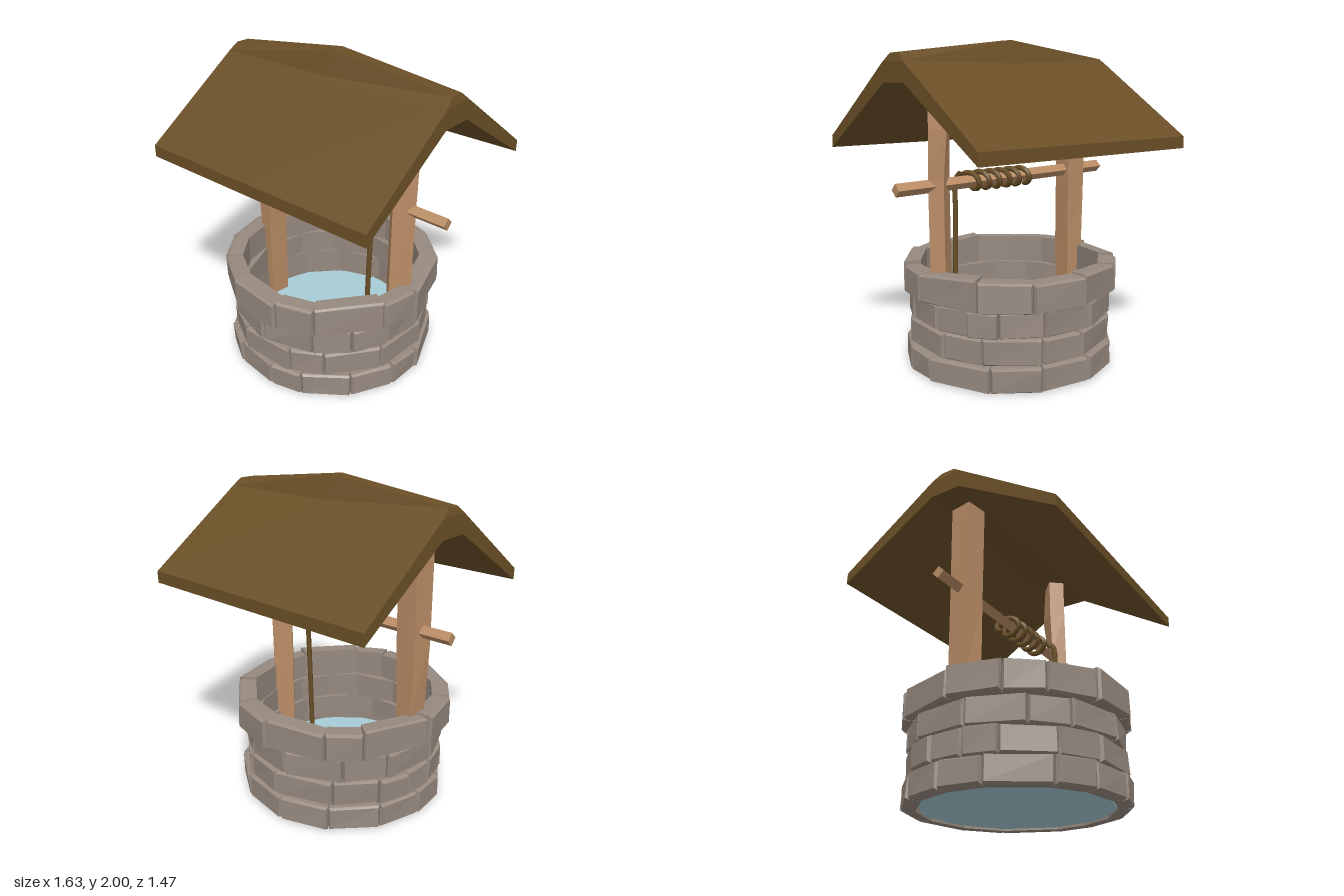
import * as THREE from 'three';

const material = (name, color) => {
  const m = new THREE.MeshStandardMaterial({ color });
  m.name = name;
  return m;
};

// Flat-shaded solid through rings of points, each counter-clockwise seen from the last ring
function loft(rings) {
  const pos = [];
  const tri = (...pts) => pts.forEach((p) => pos.push(...p));
  const n = rings[0].length;
  for (let k = 0; k < rings.length - 1; k++) {
    for (let i = 0; i < n; i++) {
      const j = (i + 1) % n;
      const [a, b, c, d] = [rings[k][i], rings[k][j], rings[k + 1][j], rings[k + 1][i]];
      tri(a, b, c);
      tri(a, c, d);
    }
  }
  const first = rings[0], last = rings[rings.length - 1];
  for (let i = 1; i < n - 1; i++) {
    tri(first[0], first[i + 1], first[i]);
    tri(last[0], last[i], last[i + 1]);
  }
  const g = new THREE.BufferGeometry();
  g.setAttribute('position', new THREE.Float32BufferAttribute(pos, 3));
  g.computeVertexNormals();
  return g;
}

export function createModel() {
  const stone = material('stone grey', 0x96897f);
  const wood = material('light wood', 0xb98c65);
  const brown = material('dark brown', 0x6a4f27);
  const blue = material('water blue', 0xa6cbd6);

  const model = new THREE.Group();
  model.name = 'well';
  const add = (parent, name, geometry, mat) => {
    const mesh = new THREE.Mesh(geometry, mat);
    mesh.name = name;
    parent.add(mesh);
    return mesh;
  };

  let seed = 11;
  const random = () => (seed = (seed * 16807) % 2147483647) / 2147483647;
  const jitter = (amount) => (random() - 0.5) * 2 * amount;

  // Wall: four courses of bevelled blocks with uneven widths
  const wall = new THREE.Group();
  wall.name = 'stoneWall';
  wall.position.set(-0.025, 0, 0.018);
  model.add(wall);
  const courses = [
    { y0: 0.003, y1: 0.153, inner: 0.575, outer: 0.66, count: 14, start: 0.1, wobble: 0.004 },
    { y0: 0.158, y1: 0.312, inner: 0.55, outer: 0.645, count: 14, start: 0.3, wobble: 0.006 },
    { y0: 0.317, y1: 0.475, inner: 0.55, outer: 0.64, count: 14, start: 0.0, wobble: 0.006 },
    { y0: 0.478, y1: 0.658, inner: 0.575, outer: 0.685, count: 13, start: 0.2, wobble: 0.012 },
  ];
  courses.forEach(({ y0, y1, inner, outer, count, start, wobble }, level) => {
    const widths = Array.from({ length: count }, () => 0.65 + random() * 0.7);
    const total = widths.reduce((a, b) => a + b, 0);
    let angle = start;
    widths.forEach((w) => {
      const end = angle + (w / total) * Math.PI * 2;
      const out = outer + jitter(0.01);
      const tops = [y1 + jitter(wobble), y1 + jitter(wobble)];
      const ring = (r, side, inset) => {
        const t0 = angle + side, t1 = end - side;
        return [[t0, y0 + inset], [t1, y0 + inset], [t1, tops[1] - inset], [t0, tops[0] - inset]]
          .map(([t, y]) => {
            const rr = r + (inset ? jitter(0.006) : 0);
            return [rr * Math.sin(t), y, rr * Math.cos(t)];
          });
      };
      const rings = [ring(inner, 0, 0), ring(out - 0.016, 0.005, 0), ring(out, 0.022, 0.01)];
      add(wall, 'stoneCourse' + (level + 1), loft(rings), stone);
      angle = end;
    });
  });

  // Water disc closing the bottom of the shaft
  const waterGeometry = new THREE.CylinderGeometry(0.59, 0.575, 0.1, 11).toNonIndexed();
  waterGeometry.computeVertexNormals();
  add(model, 'water', waterGeometry, blue).position.set(-0.025, 0.065, 0.018);

  // Posts: rough four-sided timbers, each level listing its [x, z] corners
  const post = (name, levels) =>
    add(model, name, loft(levels.map(([y, corners]) => corners.map(([x, z]) => [x, y, z]))), wood);
  post('rightPost', [
    [0.08, [[-0.61, 0.07], [-0.52, 0.085], [-0.5, -0.04], [-0.6, -0.055]]],
    [0.66, [[-0.62, 0.07], [-0.515, 0.095], [-0.495, -0.045], [-0.61, -0.06]]],
    [1.1, [[-0.64, 0.065], [-0.505, 0.085], [-0.485, -0.05], [-0.62, -0.06]]],
    [1.77, [[-0.64, 0.065], [-0.505, 0.085], [-0.485, -0.06], [-0.62, -0.075]]],
  ]);
  post('leftPost', [
    [0.08, [[0.5, 0.095], [0.59, 0.01], [0.53, -0.055], [0.43, 0.02]]],
    [0.66, [[0.5, 0.095], [0.595, 0.0], [0.53, -0.06], [0.43, 0.02]]],
    [1.2, [[0.5, 0.09], [0.6, 0.0], [0.535, -0.065], [0.435, 0.02]]],
    [1.48, [[0.5, 0.088], [0.6, -0.01], [0.535, -0.1], [0.435, 0.01]]],
    [1.77, [[0.5, 0.088], [0.6, -0.005], [0.535, -0.08], [0.435, 0.01]]],
  ]);

  // Axle: square bar set on its edge, sloping slightly
  const bar = new THREE.BoxGeometry(1.634, 0.055, 0.055).rotateX(Math.PI / 4);
  const axle = add(model, 'axle', bar, wood);
  axle.position.set(-0.002, 1.167, 0.003);
  axle.rotation.z = -0.013;

  // Rope: coil around the axle, then a straight drop into the shaft
  const turns = 5.75, perTurn = 12, path = [];
  for (let i = 0; i <= turns * perTurn; i++) {
    const t = (i / perTurn) * Math.PI * 2 - Math.PI;
    const x = -0.13 + 0.46 * (i / (turns * perTurn));
    path.push(new THREE.Vector3(x, 1.168 + 0.05 * Math.cos(t), -0.008 + 0.07 * Math.sin(t)));
  }
  // Leave the coil at its front and hang
  path.push(
    new THREE.Vector3(0.343, 1.215, 0.03),
    new THREE.Vector3(0.35, 1.17, 0.075),
    new THREE.Vector3(0.347, 1.0, 0.085),
    new THREE.Vector3(0.343, 0.66, 0.095),
    new THREE.Vector3(0.338, 0.1, 0.105),
  );
  const rope = new THREE.TubeGeometry(new THREE.CatmullRomCurve3(path), 200, 0.017, 6);
  add(model, 'rope', rope, brown);

  // Roof: extruded gable whose ridge cap rises towards the middle
  const half = [[0.1, 1.745], [0.737, 1.35], [0.737, 1.422], [0.1, 1.86], [0.045, 1.95]];
  const mirrored = half.map(([z, y]) => [-z, y]).reverse();
  const profile = new THREE.Shape([...half, ...mirrored].map(([z, y]) => new THREE.Vector2(z, y)));
  const roof = new THREE.ExtrudeGeometry(profile, { depth: 1.606, steps: 2, bevelEnabled: false });
  roof.translate(0, 0, -0.803).rotateY(Math.PI / 2);
  const p = roof.attributes.position;
  for (let i = 0; i < p.count; i++) {
    if (p.getY(i) < 1.9) continue;
    const x = p.getX(i);
    p.setXYZ(i, x * 0.982, 2 - 0.095 * Math.abs(x) / 0.803, p.getZ(i));
  }
  roof.computeVertexNormals();
  add(model, 'roof', roof, brown).position.x = 0.011;

  return model;
}
